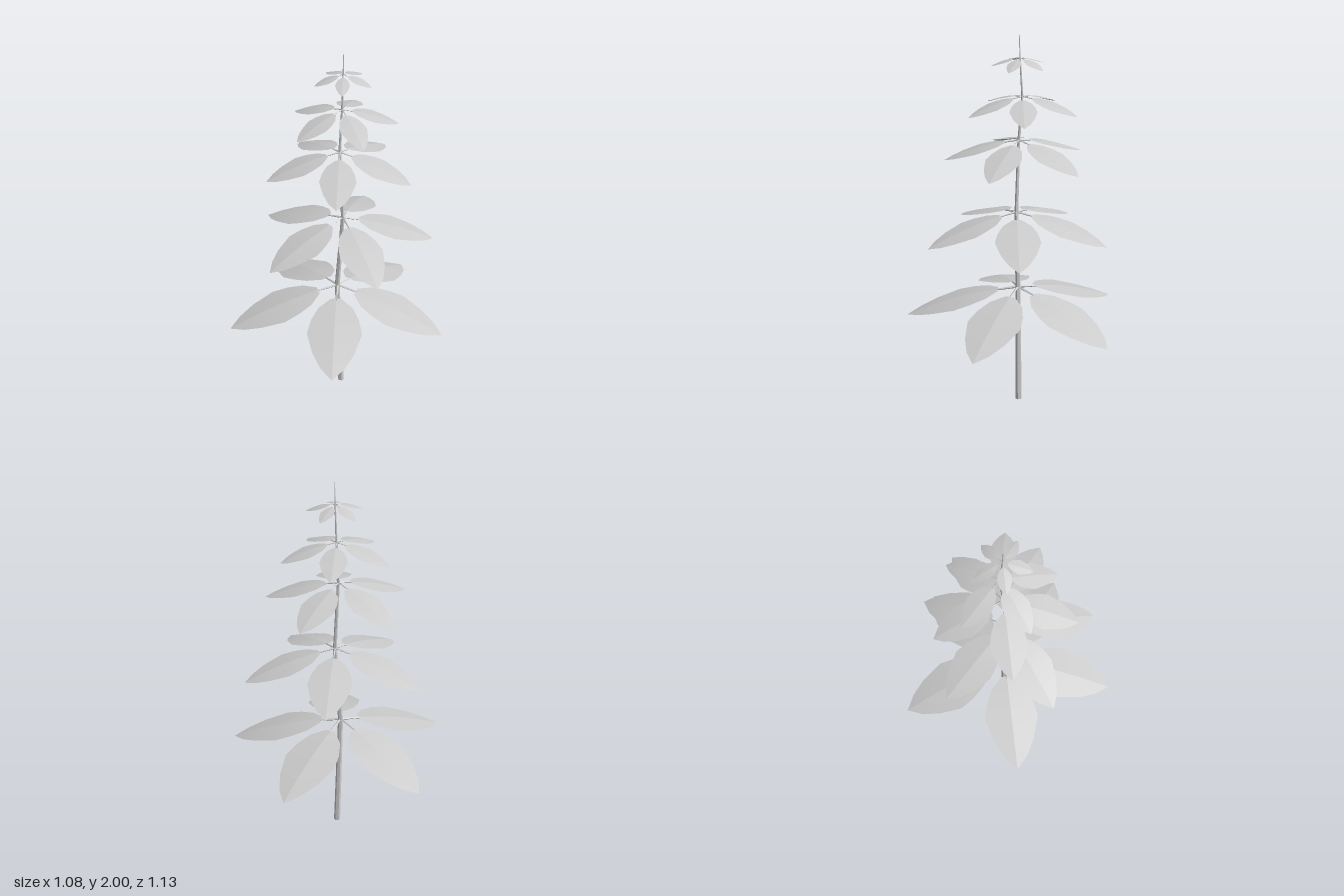
import * as THREE from 'three';

const material = new THREE.MeshStandardMaterial({ color: 0xcccccc });
const leafMaterial = new THREE.MeshStandardMaterial({ color: 0xcccccc, side: THREE.DoubleSide });

// Stem joints: x, y, z, stem radius, whorl reach, whorl turn in degrees
const joints = [
  [0.075, 0, 0.005, 0.017],
  [0.052, 0.65, 0.004, 0.0135, 0.592, 36],
  [0.076, 1.08, 0.018, 0.01, 0.477, 12],
  [0.062, 1.46, 0.002, 0.0075, 0.382, 36],
  [0.077, 1.69, -0.012, 0.0055, 0.285, 12],
  [0.078, 1.885, 0, 0.0035, 0.147, 36],
  [0.078, 2, 0.004, 0.0015],
];

// Half-widths along the leaf, for a reach of 1
const outline = [
  [0.18, 0.05], [0.28, 0.155], [0.41, 0.213], [0.55, 0.243],
  [0.75, 0.182], [0.89, 0.105], [1, 0],
];
const droop = (t) => -(0.12 * t + 0.185 * t * t);

// Tapered rod between two points
function rod(a, b, ra, rb, sides, name) {
  const dir = b.clone().sub(a);
  const geo = new THREE.CylinderGeometry(rb, ra, dir.length(), sides).toNonIndexed();
  geo.computeVertexNormals();
  const mesh = new THREE.Mesh(geo, material);
  mesh.position.copy(a).lerp(b, 0.5);
  mesh.quaternion.setFromUnitVectors(new THREE.Vector3(0, 1, 0), dir.normalize());
  mesh.name = name;
  return mesh;
}

// Leaf blade along +x: two smooth halves meeting at a creased midrib
function makeBlade() {
  const pos = [], index = [];
  for (const side of [1, -1]) {
    const start = pos.length / 3;
    outline.forEach(([t, w], i) => {
      pos.push(t, droop(t), 0, t, droop(t) - 0.1 * w, side * w);
      if (!i) return;
      const a = start + 2 * i - 2, b = a + 1, c = a + 2, d = a + 3;
      if (side > 0) index.push(a, b, c, b, d, c);
      else index.push(a, c, b, b, c, d);
    });
  }
  const geo = new THREE.BufferGeometry();
  geo.setAttribute('position', new THREE.Float32BufferAttribute(pos, 3));
  geo.setIndex(index);
  geo.computeVertexNormals();
  return geo;
}

export function createModel() {
  const model = new THREE.Group();
  model.name = 'plant';
  const blade = makeBlade();
  const point = (j) => new THREE.Vector3(j[0], j[1], j[2]);

  // Stem, bending at each joint
  const stem = new THREE.Group();
  stem.name = 'stem';
  for (let i = 1; i < joints.length; i++) {
    const a = joints[i - 1], b = joints[i];
    stem.add(rod(point(a), point(b), a[3], b[3], 6, 'stemSegment'));
  }
  model.add(stem);

  // Whorls of five leaves, each on a short stalk
  joints.filter((j) => j[4]).forEach((j) => {
    const whorl = new THREE.Group();
    whorl.name = 'leafWhorl';
    whorl.position.copy(point(j));
    whorl.scale.setScalar(j[4]);
    for (let k = 0; k < 5; k++) {
      const leaf = new THREE.Group();
      leaf.name = 'leaf';
      leaf.rotation.y = -THREE.MathUtils.degToRad(j[5] + 72 * k);
      const face = new THREE.Mesh(blade, leafMaterial);
      face.name = 'leafBlade';
      const stalkEnd = new THREE.Vector3(0.2, droop(0.2) - 0.006, 0);
      leaf.add(face, rod(new THREE.Vector3(), stalkEnd, 0.012, 0.008, 4, 'leafStalk'));
      whorl.add(leaf);
    }
    model.add(whorl);
  });
  return model;
}
